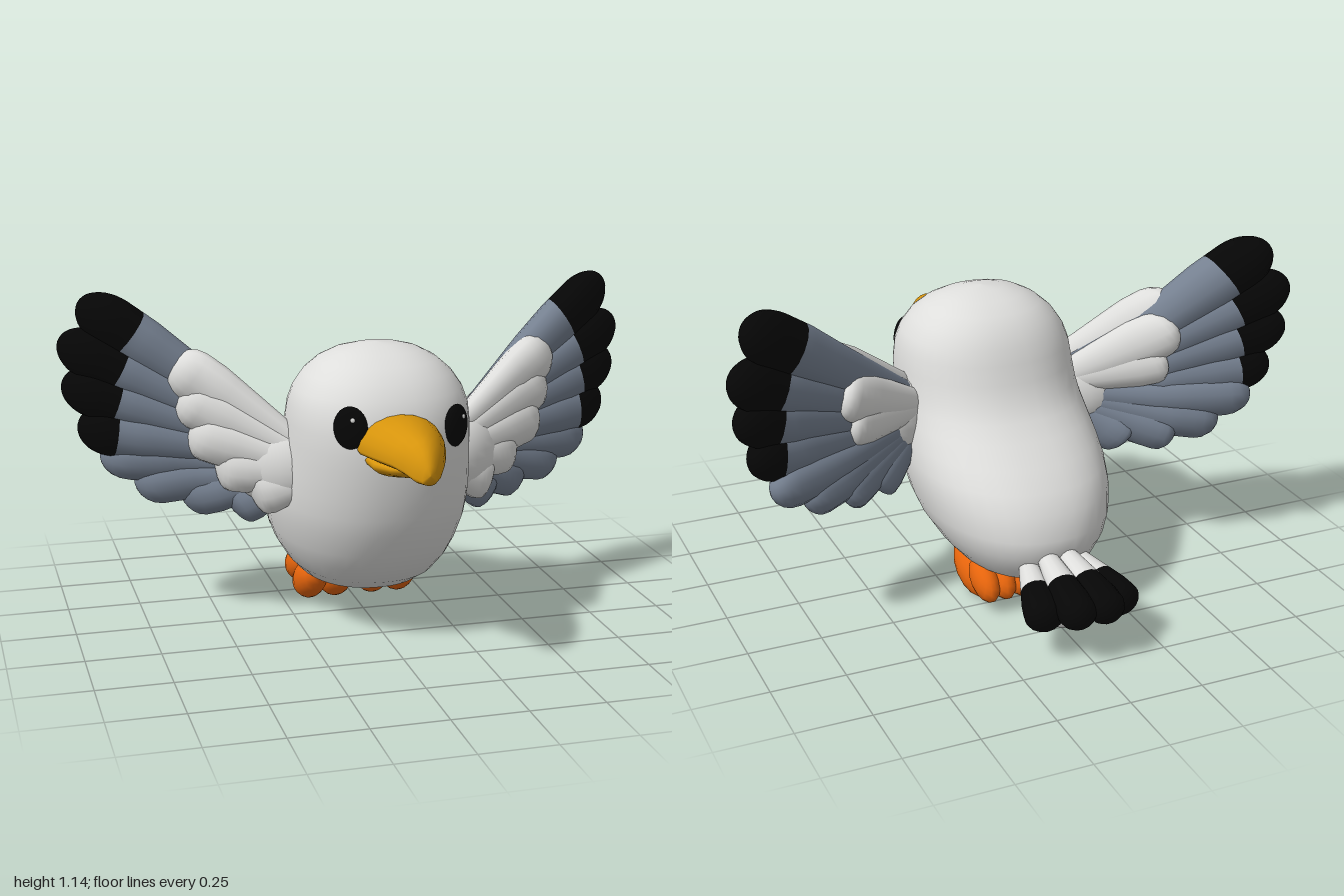
import * as THREE from 'three';

const mat = (name, color) => Object.assign(new THREE.MeshStandardMaterial({ color }), { name });

export function createModel() {
  const white = mat('white plumage', 0xdededc);
  const gray = mat('gray feathers', 0x768191);
  const black = mat('black tips', 0x060606);
  const yellow = mat('beak yellow', 0xd6940c);
  const orange = mat('foot orange', 0xe8650c);

  const model = new THREE.Group();
  model.name = 'bird';

  const add = (parent, name, geometry, material) => {
    const mesh = new THREE.Mesh(geometry, material);
    mesh.name = name;
    parent.add(mesh);
    return mesh;
  };

  // Skin a list of rings; point(row, angle) returns [x, y, z]
  function loft(rows, point, sides = 28) {
    const pos = [], index = [];
    rows.forEach((row, r) => {
      for (let i = 0; i < sides; i++) {
        pos.push(...point(row, (i / sides) * Math.PI * 2));
        if (r === rows.length - 1) continue;
        const a = r * sides + i, b = r * sides + ((i + 1) % sides);
        index.push(a, a + sides, b, b, a + sides, b + sides);
      }
    });
    const g = new THREE.BufferGeometry();
    g.setAttribute('position', new THREE.Float32BufferAttribute(pos, 3));
    g.setIndex(index);
    g.computeVertexNormals();
    return g;
  }

  // Body and head: height, half width, front z, back z, with slightly squared rings
  const bodyRows = [
    [0.1, 0, -0.12, -0.12], [0.105, 0.1, 0.02, -0.27], [0.125, 0.16, 0.12, -0.35],
    [0.155, 0.21, 0.21, -0.41], [0.2, 0.25, 0.29, -0.455], [0.26, 0.287, 0.35, -0.482],
    [0.32, 0.31, 0.39, -0.485], [0.4, 0.327, 0.43, -0.455], [0.46, 0.33, 0.447, -0.41],
    [0.52, 0.326, 0.46, -0.345], [0.58, 0.318, 0.468, -0.27], [0.63, 0.311, 0.473, -0.21],
    [0.68, 0.306, 0.475, -0.168], [0.74, 0.302, 0.473, -0.138], [0.8, 0.295, 0.46, -0.115],
    [0.85, 0.277, 0.437, -0.092], [0.9, 0.243, 0.4, -0.06], [0.94, 0.197, 0.35, -0.015],
    [0.97, 0.14, 0.29, 0.045], [0.988, 0.075, 0.23, 0.11], [0.994, 0, 0.17, 0.17],
  ];
  const squared = (v) => Math.sign(v) * Math.abs(v) ** 0.9;
  add(model, 'body', loft(bodyRows, ([y, w, f, b], a) =>
    [w * squared(Math.cos(a)), y, (f + b) / 2 + ((f - b) / 2) * squared(Math.sin(a))], 40), white);

  // Beak: z, half width, top, bottom, listed from tip to base
  const beak = (rows, rim) => loft(rows, ([z, w, top, bottom], a) => {
    const mid = bottom + (top - bottom) * rim, s = Math.sin(a);
    return [w * Math.cos(a), mid + s * (s > 0 ? top - mid : mid - bottom), z];
  }, 20);
  add(model, 'upperBeak', beak([
    [0.775, 0, 0.7, 0.7], [0.768, 0.024, 0.73, 0.668], [0.74, 0.045, 0.765, 0.665],
    [0.7, 0.067, 0.79, 0.675], [0.65, 0.087, 0.802, 0.68], [0.55, 0.12, 0.814, 0.675],
    [0.46, 0.14, 0.815, 0.67], [0.4, 0.14, 0.805, 0.67],
  ], 0.25), yellow);
  add(model, 'lowerBeak', beak([
    [0.68, 0, 0.69, 0.69], [0.66, 0.035, 0.695, 0.672], [0.61, 0.08, 0.7, 0.65],
    [0.53, 0.112, 0.7, 0.63], [0.46, 0.118, 0.7, 0.635], [0.4, 0.11, 0.7, 0.645],
  ], 0.6), yellow);

  // Eyes, turned to follow the curve of the head
  for (const [name, x, y, z, turn] of [
    ['leftEye', 0.198, 0.755, 0.408, 0.64], ['rightEye', -0.158, 0.775, 0.432, -0.5],
  ]) {
    const eye = new THREE.Group();
    eye.name = name;
    eye.position.set(x, y, z);
    eye.rotation.y = turn;
    add(eye, 'pupil', new THREE.SphereGeometry(1, 20, 14), black).scale.set(0.056, 0.07, 0.024);
    const glint = add(eye, 'glint', new THREE.SphereGeometry(1, 10, 8), white);
    glint.scale.set(0.008, 0.008, 0.004);
    glint.position.set(0.012, 0.03, 0.021);
    model.add(eye);
  }

  // One feather along +y, narrow at the root and round at the tip, cut from t0 to t1
  function featherGeometry(length, width, thick, t0, t1) {
    const rows = [], steps = 14, round = 0.84;
    for (let i = 0; i <= steps; i++) {
      const t = t0 + (t1 - t0) * Math.sin((i / steps) * Math.PI / 2);
      const e = Math.max(0, (t - round) / (1 - round));
      rows.push([t * length, (0.5 + 0.5 * Math.min(1, t / 0.7)) * Math.sqrt(Math.max(0, 1 - e * e))]);
    }
    return loft(rows, ([y, k], a) => [k * width * Math.cos(a), y, k * thick * Math.sin(a)], 14);
  }

  // Lay a feather from root to tip in the xy plane, optionally with a coloured tip
  function feather(parent, name, root, tip, o) {
    const dx = tip[0] - root[0], dy = tip[1] - root[1], cut = o.cut ?? 1;
    const parts = [[name, 0, cut, o.base]];
    if (cut < 1) parts.push([name + 'Tip', cut, 1, black]);
    for (const [label, t0, t1, material] of parts) {
      const g = featherGeometry(Math.hypot(dx, dy), o.width, o.thick, t0, t1);
      g.rotateZ(-Math.atan2(dx, dy)).translate(root[0], root[1], o.z);
      if (o.bend) {
        const p = g.attributes.position;
        for (let i = 0; i < p.count; i++) p.setZ(i, p.getZ(i) + o.bend(p.getX(i)));
        g.computeVertexNormals();
      }
      add(parent, label, g, material);
    }
  }

  // Wings: flight feathers [x, y, start of black tip], then white coverts front and back
  // slope and rootSlope sweep the outer and inner wing backwards
  const wings = [
    { name: 'leftWing', side: 1, slope: 0.4, rootSlope: 0.55,
      flight: [[0.94, 1.105, 0.73], [1, 0.95, 0.75], [0.99, 0.81, 0.78], [0.95, 0.665, 0.82],
        [0.88, 0.535], [0.76, 0.46], [0.61, 0.42], [0.47, 0.4]],
      coverts: [[0.69, 0.9], [0.67, 0.79], [0.64, 0.67], [0.54, 0.57], [0.43, 0.49]],
      backCoverts: [[0.61, 0.79], [0.58, 0.68]] },
    { name: 'rightWing', side: -1, slope: 0.29, rootSlope: 0.59,
      flight: [[0.93, 1.115, 0.77], [1, 0.985, 0.74], [0.995, 0.84, 0.76], [0.95, 0.69, 0.82],
        [0.88, 0.58], [0.77, 0.485], [0.62, 0.44], [0.47, 0.42]],
      coverts: [[0.65, 0.92], [0.63, 0.81], [0.6, 0.69], [0.52, 0.58], [0.42, 0.5]],
      backCoverts: [[0.61, 0.85], [0.58, 0.73]] },
  ];
  for (const { name, side, slope, rootSlope, flight, coverts, backCoverts } of wings) {
    const wing = new THREE.Group();
    wing.name = name;
    const bend = (x) => {
      const d = Math.abs(x) - 0.57;
      return -0.05 - d * (d > 0 ? slope : rootSlope);
    };
    flight.forEach(([x, y, cut], i) => feather(wing, 'flightFeather',
      [side * 0.27, 0.63 - i * 0.012], [side * x, y],
      { width: i < 4 ? 0.09 : 0.083, thick: 0.08, cut, base: gray, z: i < 4 ? 0 : -0.02, bend }));
    coverts.forEach(([x, y], i) => feather(wing, 'covertFeather',
      [side * 0.24, 0.63 - i * 0.02], [side * x, y],
      { width: 0.09, thick: 0.08, base: white, z: 0.035 + Math.min(i, 2) * 0.012, bend }));
    backCoverts.forEach(([x, y]) => feather(wing, 'backCovertFeather',
      [side * 0.24, 0.62], [side * x, y],
      { width: 0.08, thick: 0.065, base: white, z: -0.04, bend }));
    const shoulder = add(wing, 'shoulder', new THREE.SphereGeometry(1, 24, 16), white);
    shoulder.position.set(side * 0.32, 0.58, 0.115);
    shoulder.scale.set(0.17, 0.14, 0.1);
    shoulder.rotation.y = side * 0.6;
    model.add(wing);
  }

  // Tail fan, tipped back and slightly down
  const tail = new THREE.Group();
  tail.name = 'tail';
  tail.position.set(0, 0.25, -0.43);
  tail.rotation.x = -1.8;
  for (const [x, length, cut, z] of [[0.146, 0.285, 0.125, -0.032], [0.053, 0.35, 0.165, 0.005]])
    for (const s of [-1, 1])
      feather(tail, 'tailFeather', [s * x * 0.6, 0], [s * x, length],
        { width: 0.064, thick: 0.058, cut: cut / length, base: white, z });
  for (const s of [-1, 1])
    feather(tail, 'underTailFeather', [s * 0.035, 0], [s * 0.06, 0.27],
      { width: 0.055, thick: 0.042, base: white, z: -0.06 });
  model.add(tail);

  // Tucked feet: two front pads and three toes each
  const blob = new THREE.SphereGeometry(1, 14, 10);
  for (const s of [-1, 1]) {
    const foot = new THREE.Group();
    foot.name = s > 0 ? 'leftFoot' : 'rightFoot';
    const lobe = (name, x, y, z, size, tilt) => {
      const m = add(foot, name, blob, orange);
      m.position.set(s * x, y, z);
      m.scale.set(...size);
      m.rotation.x = -tilt;
    };
    for (const x of [0.068, 0.162]) lobe('footPad', x, 0.087, -0.13, [0.058, 0.066, 0.12], 0.5);
    for (const x of [0.056, 0.115, 0.174]) lobe('toe', x, 0.105, -0.258, [0.045, 0.058, 0.092], 0.45);
    model.add(foot);
  }

  return model;
}
